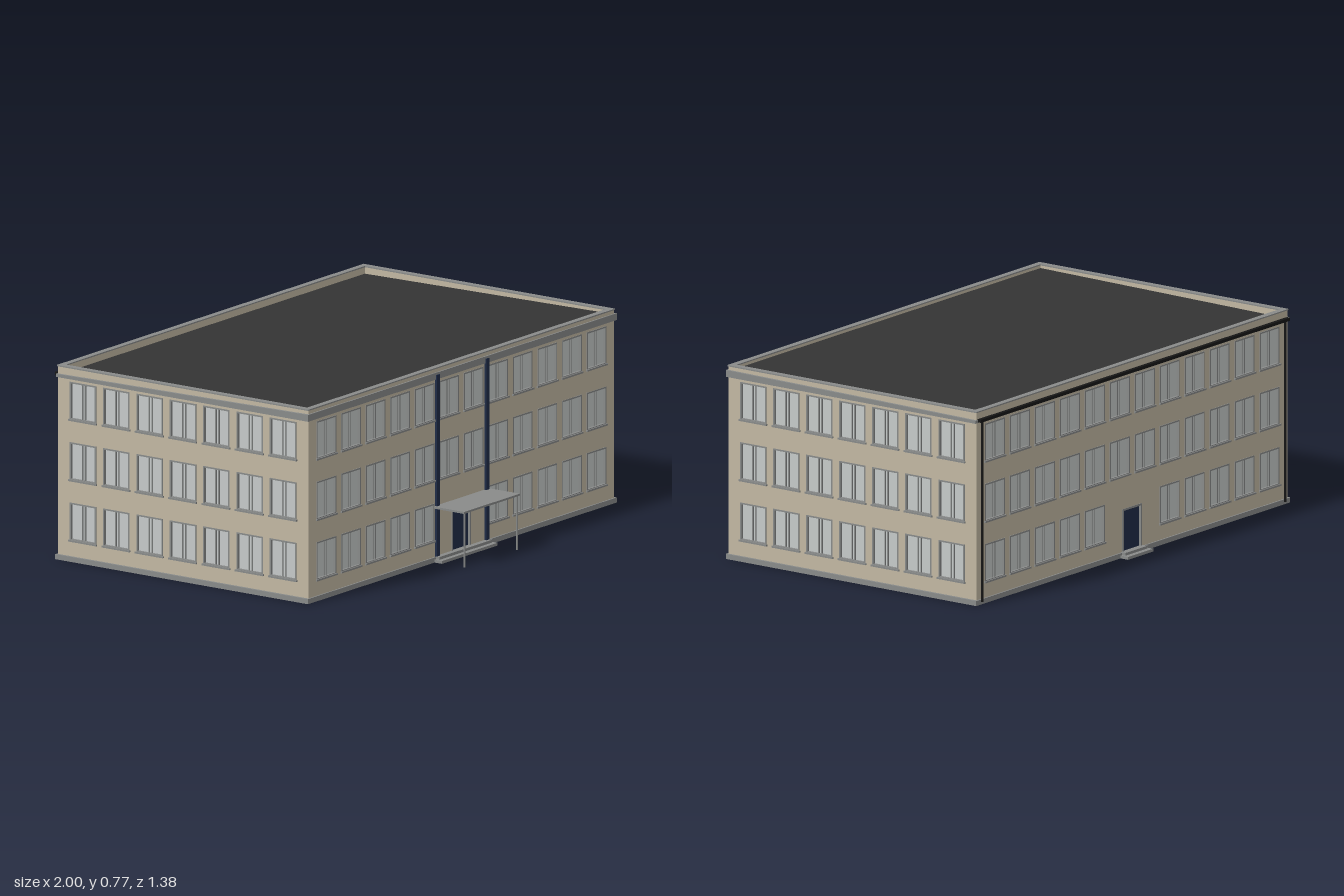
import * as THREE from 'three';

const paint = (name, color) => {
  const m = new THREE.MeshStandardMaterial({ color });
  m.name = name;
  return m;
};

export function createModel() {
  const beige = paint('beige render', 0xc2b8a3);
  const grey = paint('grey trim', 0x898b8a);
  const glass = paint('pale glass', 0xc6cac9);
  const dark = paint('dark roofing', 0x343434);
  const navy = paint('navy', 0x1f2c47);
  const black = paint('black metal', 0x161616);

  const building = new THREE.Group();
  building.name = 'building';
  const X = 0.99, FRONT = 0.543, BACK = -0.65, TOP = 0.764, T = 0.02;
  const MID = (FRONT + BACK) / 2;
  const PITCH = 0.159, W = 0.126, H = 0.15;
  const sills = [0.082, 0.321, 0.56];

  const add = (parent, name, geometry, material) => {
    const mesh = new THREE.Mesh(geometry, material);
    mesh.name = name;
    parent.add(mesh);
    return mesh;
  };
  // box given by its limits on each axis
  const box = (parent, name, material, x0, x1, y0, y1, z0, z1) => {
    const mesh = add(parent, name, new THREE.BoxGeometry(x1 - x0, y1 - y0, z1 - z0), material);
    mesh.position.set((x0 + x1) / 2, (y0 + y1) / 2, (z0 + z1) / 2);
    return mesh;
  };
  const rect = (Type, x0, x1, y0, y1) => new Type([
    [x0, y0], [x1, y0], [x1, y1], [x0, y1],
  ].map(([x, y]) => new THREE.Vector2(x, y)));
  const extrude = (shape, depth) => new THREE.ExtrudeGeometry(shape, { depth, bevelEnabled: false });

  // shared window parts, origin at bottom centre of the opening
  const frameShape = rect(THREE.Shape, -W / 2, W / 2, 0, H);
  frameShape.holes.push(rect(THREE.Path, -W / 2 + 0.006, W / 2 - 0.006, 0.006, H - 0.006));
  const frameGeometry = extrude(frameShape, 0.017);

  function addWindow(wall, x, y) {
    const win = new THREE.Group();
    win.name = 'window';
    win.position.set(x, y, 0);
    add(win, 'windowFrame', frameGeometry, grey).position.z = -0.015;
    box(win, 'windowPane', glass, -W / 2 + 0.003, W / 2 - 0.003, 0.003, H - 0.003, -0.016, -0.009);
    for (const s of [-1, 1])
      box(win, 'mullion', grey, s * 0.007 - 0.0022, s * 0.007 + 0.0022, 0.004, H - 0.004, -0.012, -0.004);
    box(win, 'windowSill', grey, -W / 2 - 0.004, W / 2 + 0.004, -0.004, 0.003, -0.012, 0.007);
    wall.add(win);
  }

  function addDoor(wall) {
    const door = new THREE.Group();
    door.name = 'door';
    const surround = rect(THREE.Shape, -0.062, 0.062, 0.02, 0.19);
    surround.holes.push(rect(THREE.Path, -0.054, 0.054, 0.021, 0.182));
    add(door, 'doorFrame', extrude(surround, 0.017), grey).position.z = -0.015;
    box(door, 'doorLeaf', navy, -0.056, 0.056, 0.02, 0.184, -0.014, -0.007);
    wall.add(door);
  }

  // one outside wall with openings; local +z points outwards
  function addWall(name, length, columns, hasDoor) {
    const wall = new THREE.Group();
    wall.name = name;
    const panel = rect(THREE.Shape, -length / 2, length / 2, 0.01, TOP);
    sills.forEach((y, floor) => {
      for (let i = 0; i < columns; i++) {
        const x = (i - (columns - 1) / 2) * PITCH;
        if (hasDoor && floor === 0 && Math.abs(x) < PITCH) continue;
        panel.holes.push(rect(THREE.Path, x - W / 2, x + W / 2, y, y + H));
        addWindow(wall, x, y);
      }
    });
    if (hasDoor) {
      panel.holes.push(rect(THREE.Path, -0.062, 0.062, 0.02, 0.19));
      addDoor(wall);
    }
    add(wall, 'wallPanel', extrude(panel, T), beige).position.z = -T;
    building.add(wall);
    return wall;
  }

  addWall('frontWall', 2 * X, 12, true).position.z = FRONT;
  const backWall = addWall('backWall', 2 * X, 12, true);
  backWall.position.z = BACK;
  backWall.rotation.y = Math.PI;
  for (const s of [-1, 1]) {
    const side = addWall(s > 0 ? 'leftWall' : 'rightWall', FRONT - BACK - 2 * T, 7, false);
    side.position.set(s * X, 0, MID);
    side.rotation.y = s * Math.PI / 2;
  }

  // plinth
  box(building, 'plinth', grey, -1, 1, 0, 0.02, BACK - 0.006, FRONT + 0.006);

  // roof slab falling gently to the back, with dark covering
  const slab = (z0, z1, y0, dy) => new THREE.Shape([
    [-z0, y0], [-z1, y0], [-z1, 0.734 + dy], [-z0, 0.749 + dy],
  ].map(([x, y]) => new THREE.Vector2(x, y)));
  const addSlab = (name, shape, halfWidth, material) => {
    const mesh = add(building, name, extrude(shape, 2 * halfWidth), material);
    mesh.rotation.y = Math.PI / 2;
    mesh.position.x = -halfWidth;
  };
  addSlab('roofSlab', slab(FRONT + 0.006, BACK - 0.003, 0.722, 0), 1, grey);
  addSlab('roofCovering', slab(FRONT - T, BACK + T, 0.73, 0.003), X - T, dark);

  // parapet cap
  const cap = rect(THREE.Shape, -X - 0.004, X + 0.004, -FRONT - 0.003, -BACK + 0.003);
  cap.holes.push(rect(THREE.Path, -X + T + 0.002, X - T - 0.002, -FRONT + T + 0.002, -BACK - T - 0.002));
  const capMesh = add(building, 'parapetCap', extrude(cap, 0.005), grey);
  capMesh.rotation.x = -Math.PI / 2;
  capMesh.position.y = TOP - 0.001;

  // navy pilasters beside the entrance
  for (const s of [-1, 1])
    box(building, 'pilaster', navy, s * 0.16 - 0.01, s * 0.16 + 0.01, 0.02, 0.74, FRONT - 0.005, FRONT + 0.01);

  // entrance canopy on two posts
  box(building, 'canopy', grey, -0.18, 0.18, 0.213, 0.221, FRONT - 0.005, 0.69);
  for (const s of [-1, 1]) {
    const post = add(building, 'canopyPost', new THREE.CylinderGeometry(0.004, 0.004, 0.214, 10), grey);
    post.position.set(s * 0.17, 0.107, 0.684);
  }

  // entrance steps
  box(building, 'frontLowerStep', grey, -0.18, 0.18, 0, 0.011, FRONT, 0.584);
  box(building, 'frontUpperStep', grey, -0.17, 0.17, 0.001, 0.022, FRONT - 0.005, 0.565);
  box(building, 'backLowerStep', grey, -0.08, 0.08, 0, 0.011, -0.692, BACK);
  box(building, 'backUpperStep', grey, -0.07, 0.07, 0.001, 0.022, -0.672, BACK + 0.005);

  // gutter and downpipes along the back
  box(building, 'gutter', black, -0.985, 0.985, 0.725, 0.737, BACK - 0.017, BACK - 0.001);
  for (const s of [-1, 1]) {
    const pipe = add(building, 'downpipe', new THREE.CylinderGeometry(0.005, 0.005, 0.72, 10), black);
    pipe.position.set(s * 0.965, 0.37, BACK - 0.009);
  }

  return building;
}
